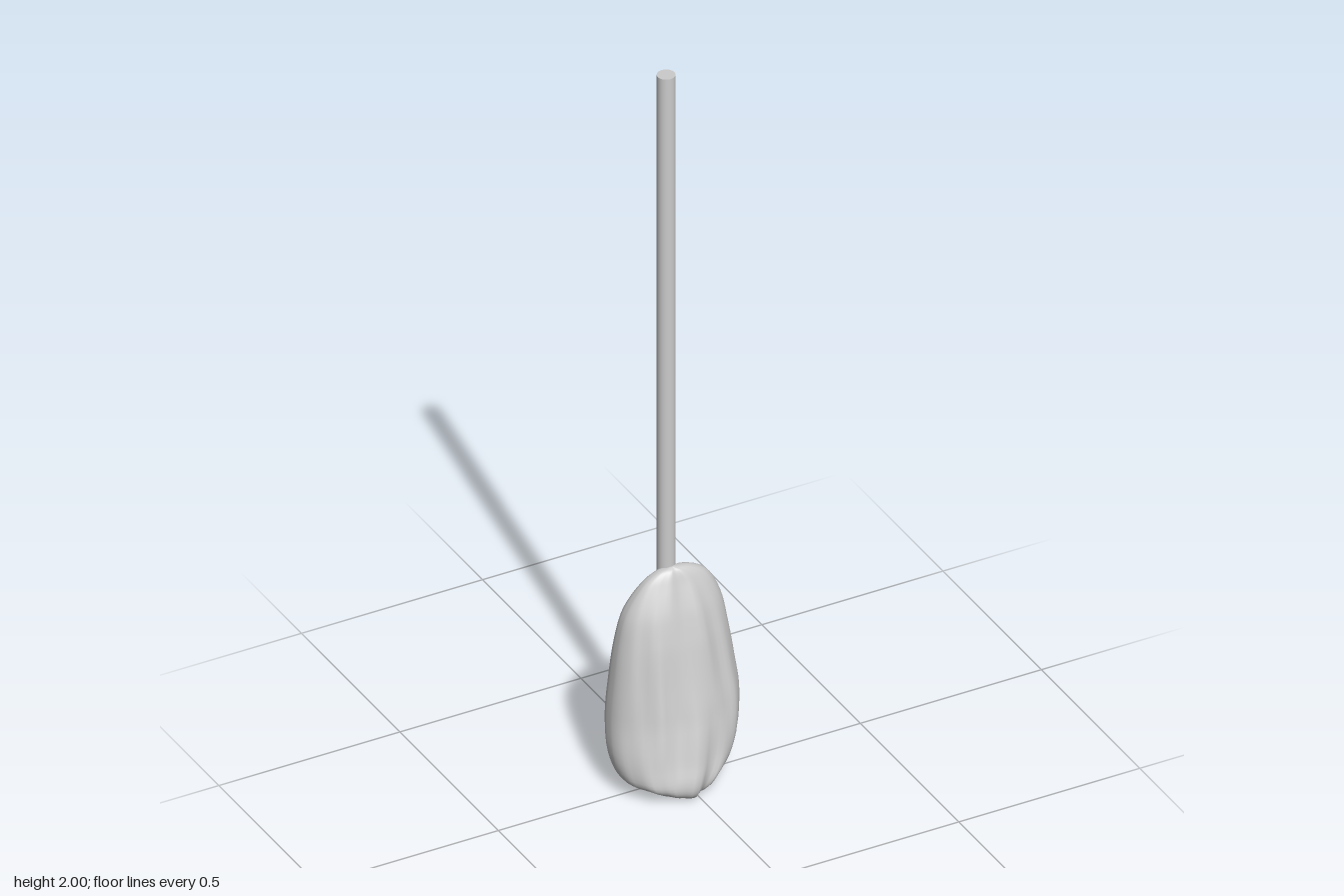
import * as THREE from 'three';

// Head sections from bottom to top: height, left/right x limits, side z, back/front z limits
const SECTIONS = [
  [0.012, -0.02, -0.01, 0.03, 0.025, 0.035],
  [0.013, -0.10, 0.05, 0.025, -0.02, 0.10],
  [0.04, -0.155, 0.10, 0.01, -0.05, 0.119],
  [0.1, -0.177, 0.15, -0.01, -0.09, 0.107],
  [0.2, -0.172, 0.175, -0.035, -0.115, 0.084],
  [0.3, -0.16, 0.166, -0.04, -0.116, 0.062],
  [0.4, -0.145, 0.152, -0.045, -0.108, 0.042],
  [0.48, -0.125, 0.135, -0.045, -0.095, 0.02],
  [0.55, -0.08, 0.098, -0.042, -0.073, -0.008],
  [0.58, -0.04, 0.05, -0.04, -0.057, -0.022],
  [0.589, -0.005, 0.005, -0.038, -0.042, -0.034],
];

// Lumpy closed loft through the sections
function headGeometry(rows = 50, sides = 64) {
  const spline = k => new THREE.CatmullRomCurve3(SECTIONS.map(s => new THREE.Vector3(s[k], s[k + 1], s[k + 2])));
  const a = spline(0), b = spline(3);
  const pos = [], index = [];
  for (let r = 0; r <= rows; r++) {
    const { x: y, y: xl, z: xr } = a.getPoint(r / rows);
    const { x: zs, y: zb, z: zf } = b.getPoint(r / rows);
    const mid = (xl + xr) / 2, half = (xr - xl) / 2;
    for (let i = 0; i < sides; i++) {
      const t = (i / sides) * Math.PI * 2, c = Math.cos(t), s = Math.sin(t);
      // Vertical folds that drift with height, strongest on the broad faces
      const fold = 1 + Math.abs(s) * (0.05 * Math.sin(9 * t + 5 * y) + 0.04 * Math.sin(14 * t - 9 * y) - 0.03);
      const x = mid + half * Math.sign(c) * Math.abs(c) ** 0.9;
      const depth = s > 0 ? (zf - zs) * s ** 1.1 : (zb - zs) * (-s) ** 0.65 * (1 - 0.12 * c);
      pos.push(x, Math.max(y, 0), zs + depth * fold);
      if (r === rows) continue;
      const j = (i + 1) % sides, p = r * sides, q = p + sides;
      index.push(p + i, q + i, p + j, p + j, q + i, q + j);
    }
  }
  // Close the two tiny end loops
  const top = rows * sides;
  for (let i = 1; i < sides - 1; i++) index.push(0, i, i + 1, top, top + i + 1, top + i);
  // Dip the underside slightly to the ground
  for (let k = 0; k < pos.length; k += 3) {
    const low = Math.max(0, 1 - pos[k + 1] / 0.06);
    pos[k + 1] = Math.max(0, pos[k + 1] + low * 0.012 * Math.sin(30 * pos[k] - 1));
  }
  const g = new THREE.BufferGeometry();
  g.setAttribute('position', new THREE.Float32BufferAttribute(pos, 3));
  g.setIndex(index);
  g.computeVertexNormals();
  return g;
}

export function createModel() {
  const model = new THREE.Group();
  const material = new THREE.MeshStandardMaterial({ color: 0xcccccc });

  const head = new THREE.Mesh(headGeometry(), material);
  head.name = 'head';

  // Straight round pole, sunk into the head
  const bottom = 0.42;
  const handle = new THREE.Mesh(new THREE.CylinderGeometry(0.023, 0.023, 2 - bottom, 32), material);
  handle.name = 'handle';
  handle.position.set(-0.004, (2 + bottom) / 2, -0.06);

  model.add(head, handle);
  return model;
}
